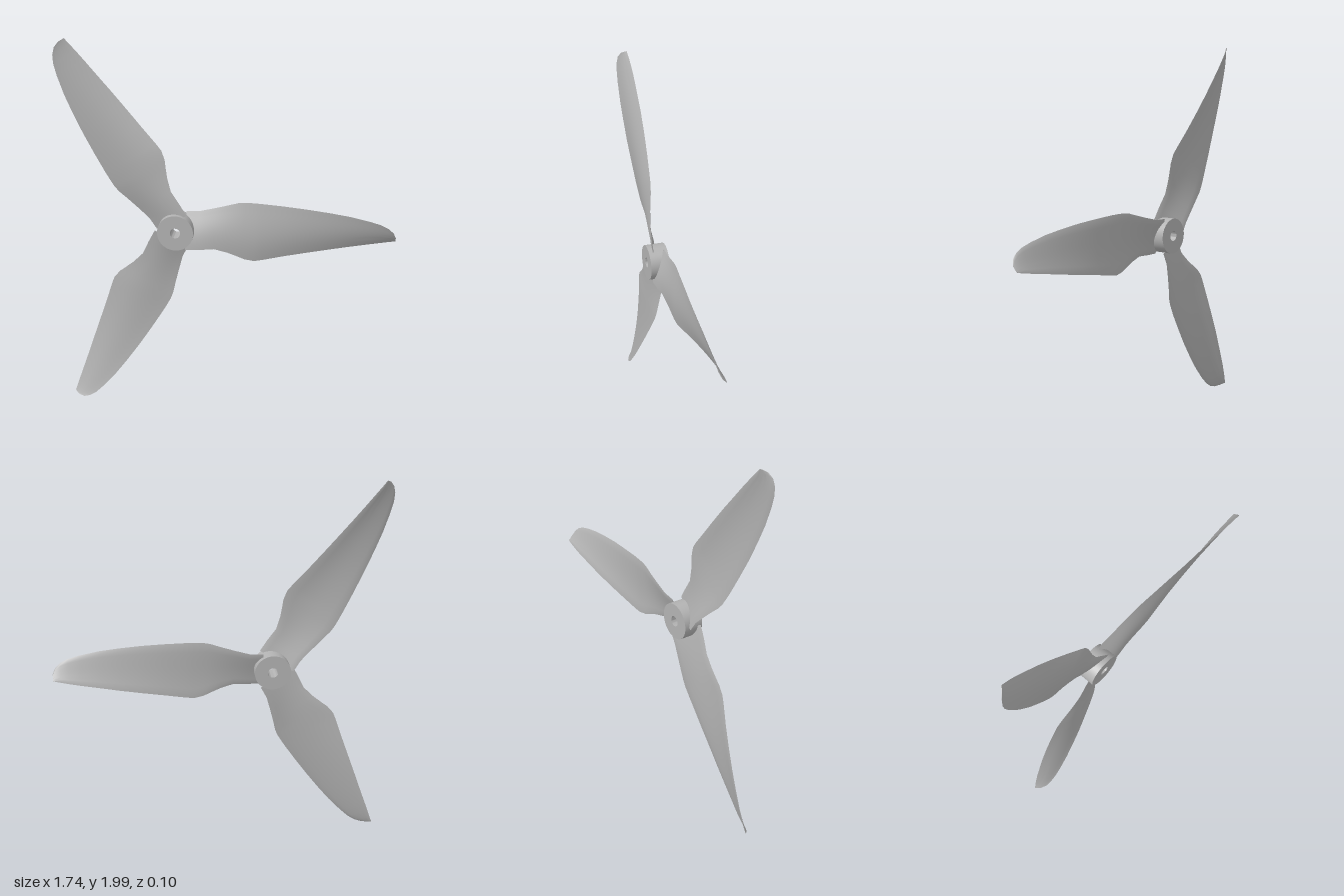
import * as THREE from 'three';
import { toCreasedNormals } from 'three/addons/utils/BufferGeometryUtils.js';

// Blade stations: distance from hub, leading edge y, trailing edge y, leading z, trailing z
const STATIONS = [
  [0.05, 0.098, -0.098, -0.035, 0.028],
  [0.12, 0.101, -0.096, -0.032, 0.025],
  [0.2, 0.122, -0.09, -0.025, 0.019],
  [0.27, 0.142, -0.109, -0.018, 0.013],
  [0.325, 0.159, -0.131, -0.011, 0.008],
  [0.36, 0.164, -0.146, -0.007, 0.005],
  [0.41, 0.164, -0.155, -0.002, 0.001],
  [0.45, 0.163, -0.149, 0.002, -0.002],
  [0.56, 0.157, -0.127, 0.011, -0.011],
  [0.68, 0.148, -0.105, 0.021, -0.018],
  [0.8, 0.135, -0.083, 0.028, -0.022],
  [0.9, 0.121, -0.064, 0.033, -0.022],
  [1.0, 0.1, -0.046, 0.036, -0.021],
  [1.06, 0.083, -0.035, 0.036, -0.018],
  [1.1, 0.063, -0.027, 0.034, -0.015],
  [1.127, 0.038, -0.022, 0.029, -0.012],
  [1.14, 0.008, -0.02, 0.015, -0.01],
];

// Lofts a thin, cambered and twisted airfoil through the stations
function bladeGeometry() {
  const half = 12, ring = half * 2;
  const pos = [], idx = [];
  for (const [r, yl, yt, zl, zt] of STATIONS) {
    const chord = yl - yt;
    for (let j = 0; j < ring; j++) {
      const front = j <= half;
      const t = (front ? j : ring - j) / half;
      const bulge = Math.sin(Math.PI * t);
      const camber = 0.04 * chord * Math.sin(Math.PI * Math.pow(t, 1.25));
      const thick = 0.0015 + 0.018 * chord * bulge;
      const z = THREE.MathUtils.lerp(zl, zt, t) + camber + (front ? thick : -thick);
      pos.push(r, THREE.MathUtils.lerp(yl, yt, t), z);
    }
  }
  const last = (STATIONS.length - 1) * ring;
  for (let i = 0; i < last; i += ring) {
    for (let j = 0; j < ring; j++) {
      const k = (j + 1) % ring;
      idx.push(i + j, i + k, i + ring + j, i + k, i + ring + k, i + ring + j);
    }
  }
  // Root and tip caps
  for (let j = 1; j < ring - 1; j++) {
    idx.push(last, last + j, last + j + 1, 0, j + 1, j);
  }
  const g = new THREE.BufferGeometry();
  g.setAttribute('position', new THREE.Float32BufferAttribute(pos, 3));
  g.setIndex(idx);
  return toCreasedNormals(g, 0.9);
}

export function createModel() {
  const model = new THREE.Group();
  model.name = 'propeller';
  const grey = new THREE.MeshStandardMaterial({ color: 0xb2b2b2 });
  grey.name = 'grey plastic';

  const rotor = new THREE.Group();
  rotor.name = 'rotor';
  rotor.position.set(-0.265, 1, 0);
  model.add(rotor);

  // Hub with a shaft hole
  const disc = new THREE.Shape().absarc(0, 0, 0.095, 0, Math.PI * 2, false);
  disc.holes.push(new THREE.Path().absarc(0, 0, 0.027, 0, Math.PI * 2, true));
  const hubGeo = new THREE.ExtrudeGeometry(disc, { depth: 0.103, bevelEnabled: false, curveSegments: 24 });
  const hub = new THREE.Mesh(toCreasedNormals(hubGeo, 0.7), grey);
  hub.name = 'hub';
  hub.position.z = -0.054;
  rotor.add(hub);

  // Three identical blades
  const geo = bladeGeometry();
  for (let i = 0; i < 3; i++) {
    const blade = new THREE.Mesh(geo, grey);
    blade.name = 'blade' + (i + 1);
    blade.rotation.z = (i * Math.PI * 2) / 3;
    rotor.add(blade);
  }
  return model;
}
